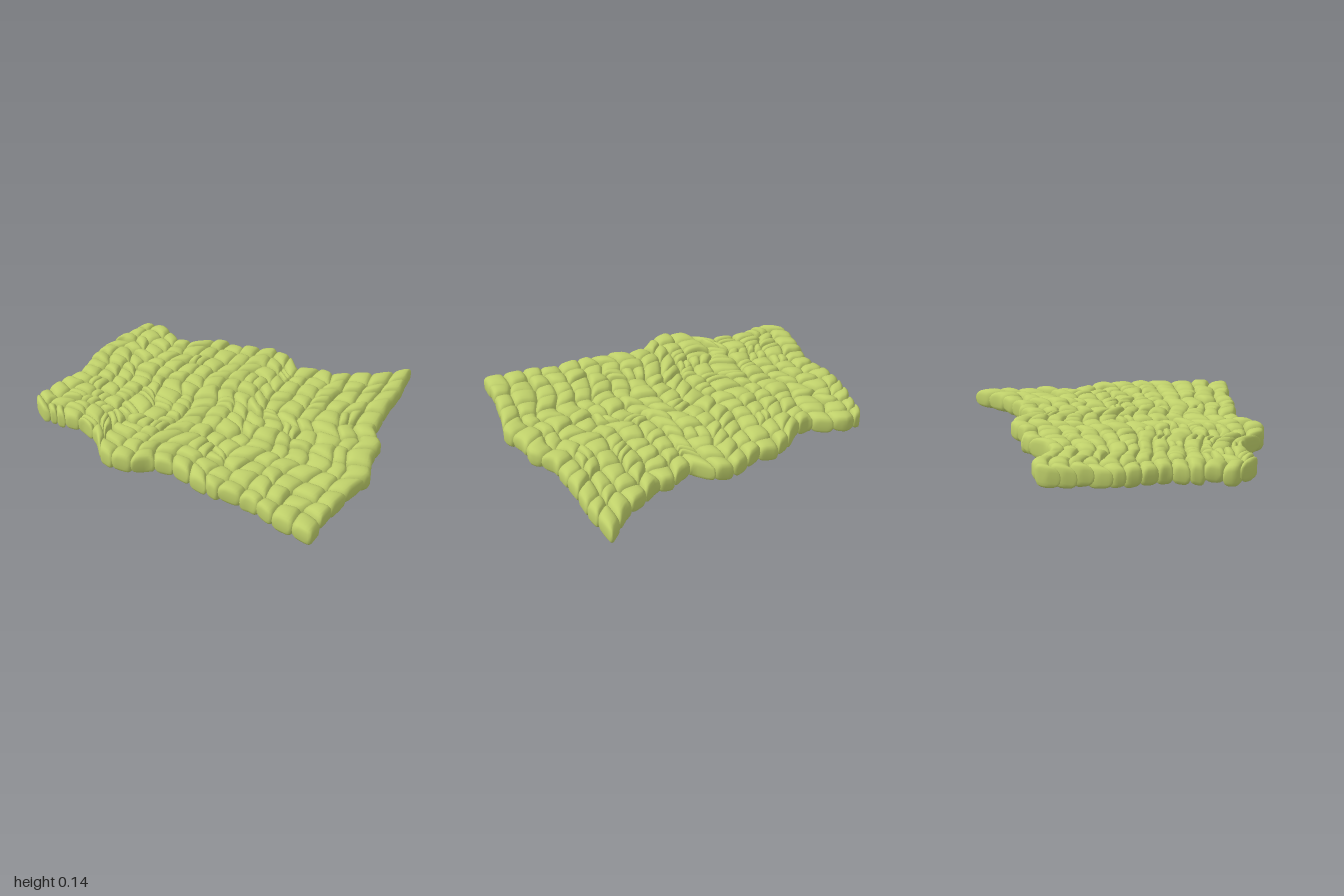
import * as THREE from 'three';
import { mergeVertices } from 'three/addons/utils/BufferGeometryUtils.js';

// Outline of the slab. Back and front are [x, z], left and right are [z, x].
const BACK = [[-0.82, -0.61], [-0.78, -0.655], [-0.68, -0.665], [-0.6, -0.62], [-0.5, -0.545], [-0.4, -0.56], [-0.3, -0.635],
  [-0.2, -0.665], [-0.1, -0.64], [0, -0.67], [0.07, -0.695], [0.2, -0.66], [0.27, -0.56], [0.35, -0.575],
  [0.42, -0.61], [0.52, -0.59], [0.62, -0.65], [0.75, -0.7], [0.84, -0.78], [0.91, -0.84]];
const FRONT = [[-0.96, 0.41], [-0.88, 0.465], [-0.62, 0.465], [-0.5, 0.53], [-0.4, 0.66], [-0.3, 0.695], [-0.2, 0.685],
  [-0.12, 0.625], [0, 0.615], [0.15, 0.67], [0.3, 0.705], [0.5, 0.715], [0.62, 0.77], [0.88, 0.83]];
const LEFT = [[-0.61, -0.82], [-0.4, -0.88], [-0.3, -0.92], [-0.15, -0.92], [0, -0.9], [0.1, -0.94],
  [0.22, -0.97], [0.3, -1], [0.36, -0.99], [0.41, -0.96]];
const RIGHT = [[-0.84, 0.91], [-0.6, 0.915], [-0.4, 0.9], [-0.15, 0.89], [-0.03, 0.97], [0.1, 0.96],
  [0.25, 1], [0.4, 0.95], [0.55, 0.915], [0.7, 0.89], [0.83, 0.88]];
const COLS = 17, ROWS = 13;

let seed = 11;
const rand = () => {
  seed = (seed * 16807) % 2147483647;
  return seed / 2147483647;
};
const jitter = (a) => (rand() * 2 - 1) * a;
const lerp = THREE.MathUtils.lerp;
const clamp = THREE.MathUtils.clamp;

// Point [key, value] on an outline side at fraction t of its key range
function along(side, t) {
  const key = lerp(side[0][0], side[side.length - 1][0], t);
  let i = 0;
  while (i < side.length - 2 && side[i + 1][0] < key) i++;
  const [a, b] = [side[i], side[i + 1]];
  return [key, lerp(a[1], b[1], (key - a[0]) / (b[0] - a[0]))];
}

// Blend the four sides into a surface: (u, v) in 0..1 gives [x, z]
function patch(u, v) {
  const back = along(BACK, u), front = along(FRONT, u);
  const left = along(LEFT, v), right = along(RIGHT, v);
  const corners = [BACK[0], BACK[BACK.length - 1], FRONT[0], FRONT[FRONT.length - 1]];
  return [0, 1].map((k) =>
    lerp(back[k], front[k], v) + lerp(left[1 - k], right[1 - k], u)
    - lerp(lerp(corners[0][k], corners[1][k], u), lerp(corners[2][k], corners[3][k], u), v));
}

// Unit pillow: a welded box rounded into a soft cushion
function makePillow() {
  const box = new THREE.BoxGeometry(2, 2, 2, 6, 4, 6);
  box.deleteAttribute('normal');
  box.deleteAttribute('uv');
  const g = mergeVertices(box);
  const p = g.attributes.position;
  for (let i = 0; i < p.count; i++) {
    const [x, y, z] = [p.getX(i), p.getY(i), p.getZ(i)];
    const rho = Math.pow(x ** 4 + z ** 4, 0.25);
    const r = Math.pow(rho ** 2.5 + Math.abs(y) ** 2.5, -1 / 2.5);
    p.setXYZ(i, x * r, y * r, z * r);
  }
  return g;
}

// Cushion-shaped stone filling a quad of (u, v) corners: a b / d c
function stoneGeometry(pillow, [a, b, c, d]) {
  const g = pillow.clone();
  const p = g.attributes.position;
  const midY = 0.078 + jitter(0.008), half = 0.06 + jitter(0.005);
  const tiltX = jitter(0.007), tiltZ = jitter(0.007);
  const overlap = 1.13;
  for (let i = 0; i < p.count; i++) {
    const [x, y, z] = [p.getX(i), p.getY(i), p.getZ(i)];
    const s = (x * overlap + 1) / 2, t = (z * overlap + 1) / 2;
    const [u, v] = [0, 1].map((k) => clamp(lerp(lerp(a[k], b[k], s), lerp(d[k], c[k], s), t), 0, 1));
    const [px, pz] = patch(u, v);
    p.setXYZ(i, px, Math.max(0, midY + y * half + x * tiltX + z * tiltZ), pz);
  }
  g.computeVertexNormals();
  return g;
}

export function createModel() {
  const model = new THREE.Group();
  model.name = 'cobbledSlab';
  const material = new THREE.MeshStandardMaterial({ color: 0xbfd06a });
  const pillow = makePillow();

  // Irregular grid of joints; border joints slide only along the border
  const joints = [];
  for (let j = 0; j <= ROWS; j++) {
    joints.push([]);
    for (let i = 0; i <= COLS; i++) {
      const du = i % COLS ? jitter(0.2) / COLS : 0;
      const dv = j % ROWS ? jitter(0.2) / ROWS : 0;
      joints[j].push([i / COLS + du, j / ROWS + dv]);
    }
  }
  const mid = (p, q, t = 0.5) => [lerp(p[0], q[0], t), lerp(p[1], q[1], t)];

  for (let j = 0; j < ROWS; j++) {
    const row = new THREE.Group();
    row.name = `stoneRow${j + 1}`;
    for (let i = 0; i < COLS; i++) {
      const [a, b, c, d] = [joints[j][i], joints[j][i + 1], joints[j + 1][i + 1], joints[j + 1][i]];
      const [x, z] = patch(...mid(a, c));
      let quads = [[a, b, c, d]];
      // Smaller split stones in the patch near the front left
      const small = x > -0.8 && x < -0.18 && z > 0.04 && z < 0.45;
      if (rand() < (small ? 0.75 : 0.06)) {
        const t = 0.4 + rand() * 0.2;
        if (rand() < 0.65) {
          const [m, n] = [mid(a, b, t), mid(d, c, 1 - t)];
          quads = [[a, m, n, d], [m, b, c, n]];
        } else {
          const [m, n] = [mid(a, d, t), mid(b, c, 1 - t)];
          quads = [[a, b, n, m], [m, n, c, d]];
        }
      }
      for (const quad of quads) {
        const stone = new THREE.Mesh(stoneGeometry(pillow, quad), material);
        stone.name = 'stone';
        row.add(stone);
      }
    }
    model.add(row);
  }
  return model;
}
